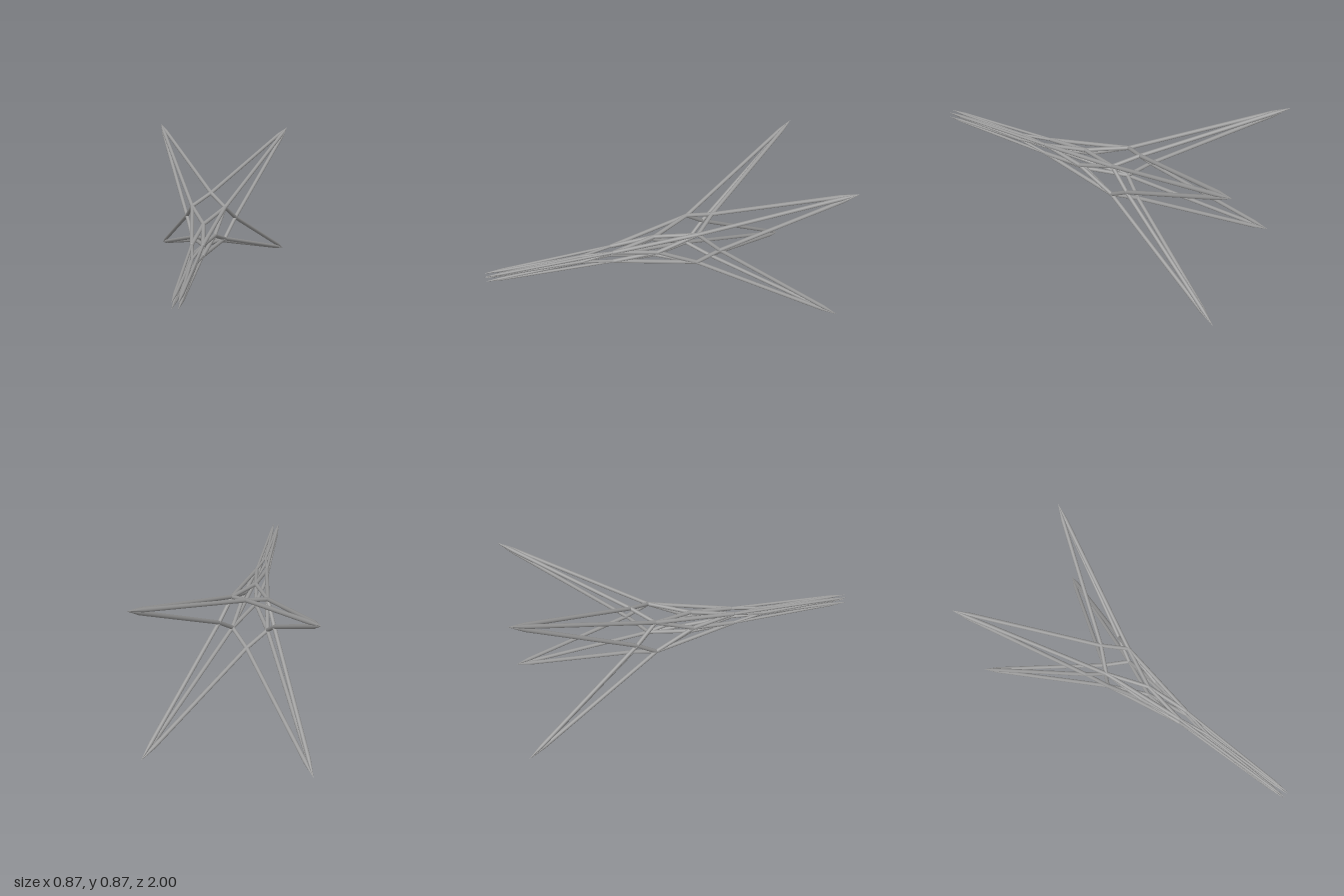
import * as THREE from 'three';

const CY = 0.44;       // height of the long axis
const R = 0.0115;      // radius of rear and body struts
const THIN = 0.008;    // radius of the front struts
const POINT = 0.1;     // length of the sharpened ends

const steel = new THREE.MeshStandardMaterial({ color: 0x999999 });
steel.name = 'grey metal';

const UP = new THREE.Vector3(0, 1, 0);

// Round strut from a to b, sharpened at b over the given length
function strut(group, name, a, b, radius = R, point = 0) {
  const dir = b.clone().sub(a);
  const length = dir.length();
  const profile = [new THREE.Vector2(radius, 0), new THREE.Vector2(radius, length - point)];
  if (point > 0) profile.push(new THREE.Vector2(0.0005, length));
  const mesh = new THREE.Mesh(new THREE.LatheGeometry(profile, 16), steel);
  mesh.position.copy(a);
  mesh.quaternion.setFromUnitVectors(UP, dir.normalize());
  mesh.name = name;
  group.add(mesh);
}

// Small knuckle closing the gap where struts meet
function joint(group, p, radius) {
  const mesh = new THREE.Mesh(new THREE.SphereGeometry(radius * 1.03, 16, 12), steel);
  mesh.position.copy(p);
  mesh.name = 'joint';
  group.add(mesh);
}

// Four nodes on the diagonals, or four on the axes, in turn around z
const diagonal = (d, z) => [[1, 1], [-1, 1], [-1, -1], [1, -1]].map(([x, y]) => new THREE.Vector3(x * d, CY + y * d, z));
const axial = (r, z) => [[1, 0], [0, 1], [-1, 0], [0, -1]].map(([x, y]) => new THREE.Vector3(x * r, CY + y * r, z));

export function createModel() {
  const model = new THREE.Group();
  model.name = 'latticeFrame';

  const rearTips = diagonal(0.435, -1);
  const rearCross = axial(0.152, -0.33);
  const rearKnees = diagonal(0.1, -0.21);
  const midCross = axial(0.066, 0.02);
  const frontKnees = diagonal(0.031, 0.27);
  const frontCross = axial(0.022, 0.46);
  const frontTips = diagonal(0.016, 1);

  for (const ring of [rearCross, rearKnees, midCross, frontKnees]) {
    ring.forEach((p) => joint(model, p, R));
  }
  frontCross.forEach((p) => joint(model, p, THIN));

  for (let i = 0; i < 4; i++) {
    // Spines along each diagonal
    strut(model, 'rearSpine', rearKnees[i], rearTips[i], R, POINT);
    strut(model, 'bodySpine', rearKnees[i], frontKnees[i]);
    strut(model, 'frontSpine', frontKnees[i], frontTips[i], THIN, POINT);

    // Braces to the two neighbouring axial nodes
    for (const j of [i, (i + 1) % 4]) {
      strut(model, 'rearBrace', rearCross[j], rearTips[i], R, POINT);
      strut(model, 'rearWeb', rearCross[j], rearKnees[i]);
      strut(model, 'bodyBrace', midCross[j], rearKnees[i]);
      strut(model, 'bodyWeb', midCross[j], frontKnees[i]);
      strut(model, 'frontWeb', frontCross[j], frontKnees[i], THIN);
      strut(model, 'frontBrace', frontCross[j], frontTips[i], THIN, POINT);
    }
  }
  return model;
}
